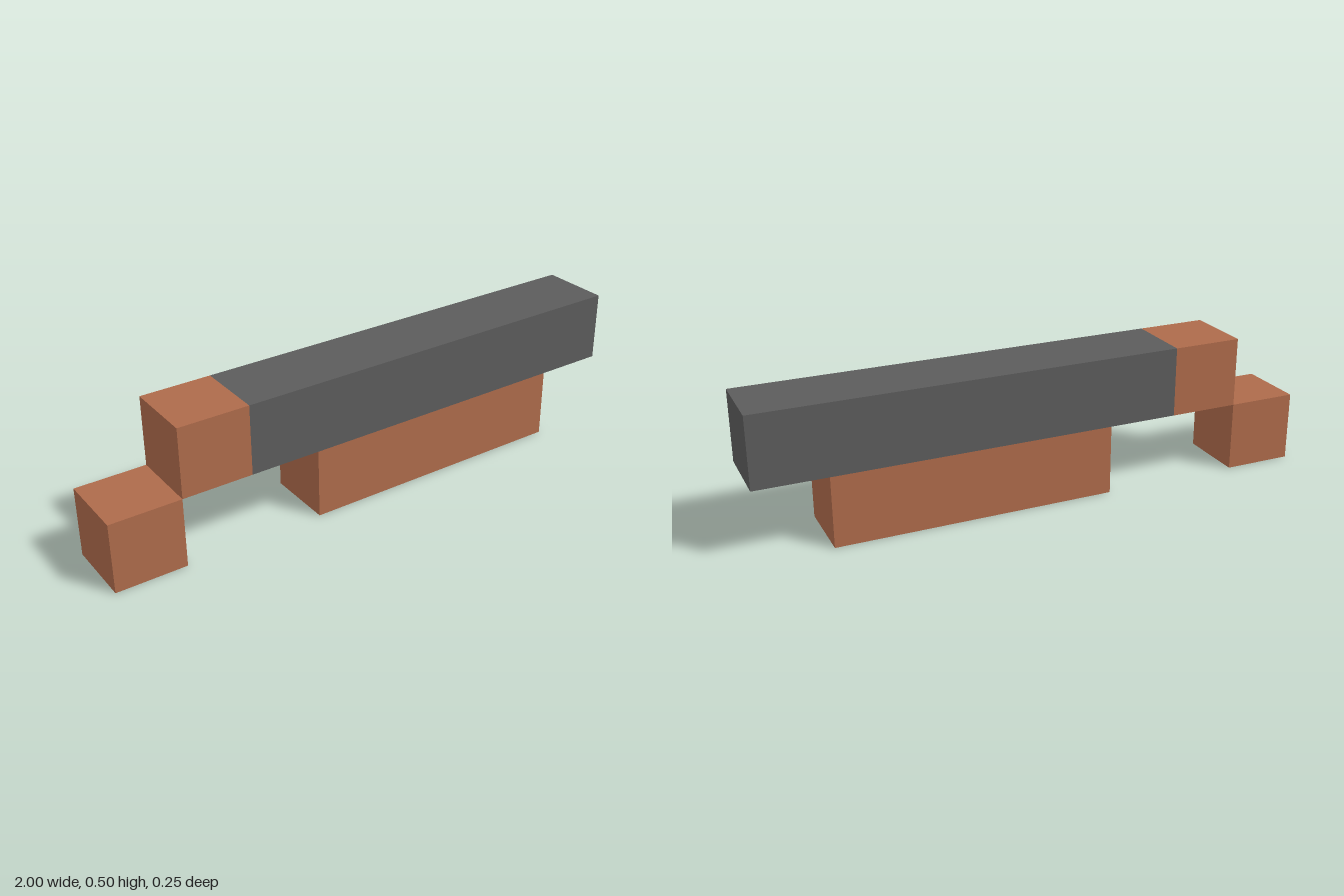
import * as THREE from 'three';

export function createModel() {
  const model = new THREE.Group();
  const copper = new THREE.MeshStandardMaterial({ name: 'copperBrown', color: 0xae6b4b });
  const charcoal = new THREE.MeshStandardMaterial({ name: 'charcoalGrey', color: 0x5c5c5c });

  // All blocks share one square cross-section
  const unit = 0.25;
  const addBlock = (name, x0, x1, y0, material) => {
    const mesh = new THREE.Mesh(new THREE.BoxGeometry(x1 - x0, unit, unit), material);
    mesh.name = name;
    mesh.position.set((x0 + x1) / 2, y0 + unit / 2, 0);
    model.add(mesh);
  };

  // Upper row: long beam with a coloured end block
  addBlock('beam', -0.5, 1, unit, charcoal);
  addBlock('beamEnd', -0.75, -0.5, unit, copper);

  // Lower row: long block under the beam and a cube at the stepped-down end
  addBlock('underBlock', -0.25, 0.75, 0, copper);
  addBlock('endCube', -1, -0.75, 0, copper);

  return model;
}
